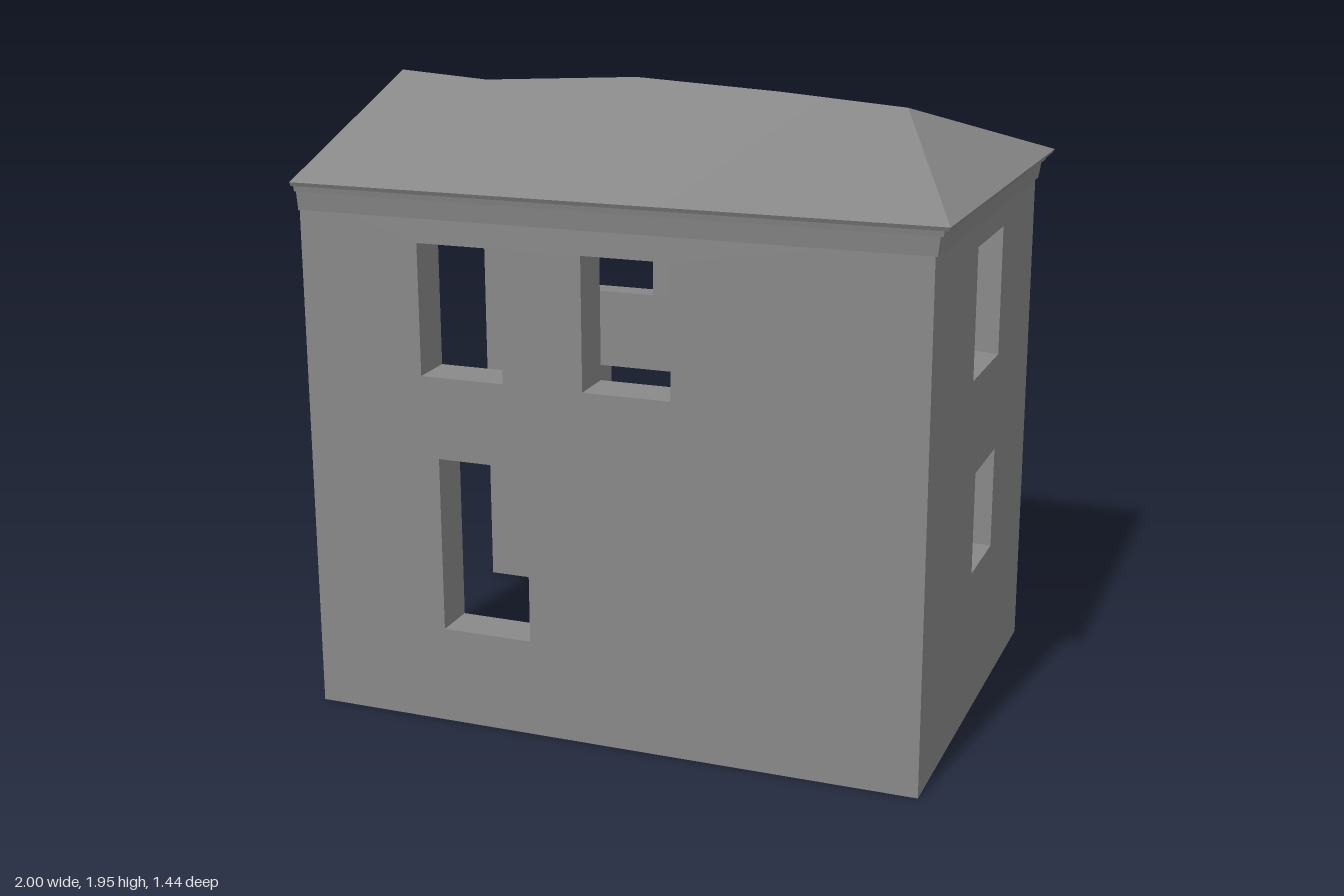
import * as THREE from 'three';
import { mergeVertices } from 'three/addons/utils/BufferGeometryUtils.js';

const LEFT = -1, RIGHT = 0.95, HALF = 0.67, WALL = 0.12, TOP = 1.64, EAVE = 1.68, TAPER = 0.008;

// stepped cornice profile: [outward offset, height]
const PROFILE = [[0, 1.59], [0.008, 1.59], [0.016, 1.648], [0.026, 1.648], [0.03, 1.668], [0.044, 1.668], [0.05, EAVE]];
// ridge line: [x, height]
const RIDGE = [[-1, 1.935], [-0.7, 1.915], [-0.18, 1.945], [0.29, 1.92], [0.69, 1.89]];

// openings: [min along the wall, max along the wall, bottom, top]
const STREET = [[-0.61, -0.34, 1.11, 1.515], [-0.085, 0.19, 1.11, 1.515], [-0.56, -0.27, 0.305, 0.855]];
const REAR = [...STREET, [0.42, 0.7, 0.475, 0.805]];
const SIDE = [[-0.197, 0.147, 1.11, 1.515], [-0.2, 0.067, 0.475, 0.8]];

const material = new THREE.MeshStandardMaterial({ color: 0x888888, side: THREE.DoubleSide });

function addMesh(group, name, geometry) {
  const mesh = new THREE.Mesh(geometry, material);
  mesh.name = name;
  group.add(mesh);
  return mesh;
}

function fromTriangles(points, smooth = false) {
  let geometry = new THREE.BufferGeometry();
  geometry.setAttribute('position', new THREE.Float32BufferAttribute(points.flat(), 3));
  if (smooth) geometry = mergeVertices(geometry);
  geometry.computeVertexNormals();
  return geometry;
}

function rectangle(Type, a, b, c, d) {
  const path = new Type();
  path.moveTo(a, c).lineTo(b, c).lineTo(b, d).lineTo(a, d).closePath();
  return path;
}

// wall slab, open underneath, with openings that narrow slightly towards the inside
function wallGeometry(a, b, openings, innerZ) {
  const shape = rectangle(THREE.Shape, a, b, 0, TOP);
  for (const o of openings) shape.holes.push(rectangle(THREE.Path, ...o));
  const position = new THREE.ExtrudeGeometry(shape, { depth: WALL, bevelEnabled: false }).attributes.position;
  const near = (p, q) => Math.abs(p - q) < 1e-4;

  const tris = [];
  for (let i = 0; i < position.count; i += 3) {
    const corners = [0, 1, 2].map((k) => new THREE.Vector3().fromBufferAttribute(position, i + k));
    if (corners.every((v) => near(v.y, 0))) continue;
    for (const v of corners) {
      const o = openings.find(([l, r, c, d]) => (near(v.x, l) || near(v.x, r)) && (near(v.y, c) || near(v.y, d)));
      if (o && near(v.z, innerZ)) {
        v.x += near(v.x, o[0]) ? TAPER : -TAPER;
        v.y += near(v.y, o[2]) ? TAPER : -TAPER;
      }
      tris.push(v.toArray());
    }
  }
  return fromTriangles(tris);
}

// profile swept round the three closed sides with mitred corners
function corniceGeometry() {
  const rings = PROFILE.map(([o, y]) => [
    [LEFT, y, HALF + o], [RIGHT + o, y, HALF + o], [RIGHT + o, y, -HALF - o], [LEFT, y, -HALF - o],
  ]);
  const tris = [];
  for (let i = 0; i < rings.length - 1; i++) {
    for (let j = 0; j < 3; j++) {
      const a = rings[i][j], b = rings[i][j + 1], c = rings[i + 1][j + 1], d = rings[i + 1][j];
      tris.push(a, b, c, a, c, d);
    }
  }
  return fromTriangles(tris);
}

// one gently sagging roof slope; side is 1 for the front, -1 for the back
function slopeGeometry(side, eaveZ, eaveRight) {
  const tris = [];
  for (let i = 0; i < RIDGE.length - 1; i++) {
    const [x0, y0] = RIDGE[i], [x1, y1] = RIDGE[i + 1];
    const end = i === RIDGE.length - 2 ? eaveRight : x1;
    const r0 = [x0, y0, 0], r1 = [x1, y1, 0];
    const e0 = [x0, EAVE, side * eaveZ], e1 = [end, EAVE, side * eaveZ];
    if (side > 0) tris.push(e0, e1, r1, e0, r1, r0);
    else tris.push(e1, e0, r0, e1, r0, r1);
  }
  return fromTriangles(tris, true);
}

// flat closing face of the roof and cornice at the open end
function gableGeometry() {
  const side = PROFILE.map(([o, y]) => [HALF + o, y]);
  const outline = [[HALF, TOP], ...side, [0, RIDGE[0][1]],
    ...side.slice().reverse().map(([z, y]) => [-z, y]), [-HALF, TOP]];
  return new THREE.ShapeGeometry(new THREE.Shape(outline.map(([z, y]) => new THREE.Vector2(z, y))));
}

export function createModel() {
  const group = new THREE.Group();
  group.name = 'house';

  // walls: the left end stays open
  addMesh(group, 'frontWall', wallGeometry(LEFT, RIGHT, STREET, 0)).position.z = HALF - WALL;
  addMesh(group, 'backWall', wallGeometry(LEFT, RIGHT, REAR, WALL)).position.z = -HALF;
  const end = addMesh(group, 'endWall', wallGeometry(-HALF + WALL, HALF - WALL, SIDE, WALL));
  end.rotation.y = -Math.PI / 2;
  end.position.x = RIGHT;

  // ceiling and cornice
  const ceiling = addMesh(group, 'ceiling', new THREE.BoxGeometry(RIGHT - LEFT - 0.01, EAVE - TOP, 2 * HALF));
  ceiling.position.set((LEFT + RIGHT) / 2 + 0.005, (TOP + EAVE) / 2, 0);
  addMesh(group, 'cornice', corniceGeometry());

  // roof: two slopes, a hipped right end and a flat gable on the left
  const overhang = PROFILE.at(-1)[0], eaveZ = HALF + overhang, eaveRight = RIGHT + overhang;
  addMesh(group, 'frontSlope', slopeGeometry(1, eaveZ, eaveRight));
  addMesh(group, 'backSlope', slopeGeometry(-1, eaveZ, eaveRight));
  addMesh(group, 'hip', fromTriangles([[eaveRight, EAVE, eaveZ], [eaveRight, EAVE, -eaveZ], [...RIDGE.at(-1), 0]]));
  const gable = addMesh(group, 'gable', gableGeometry());
  gable.rotation.y = -Math.PI / 2;
  gable.position.x = LEFT;

  return group;
}
